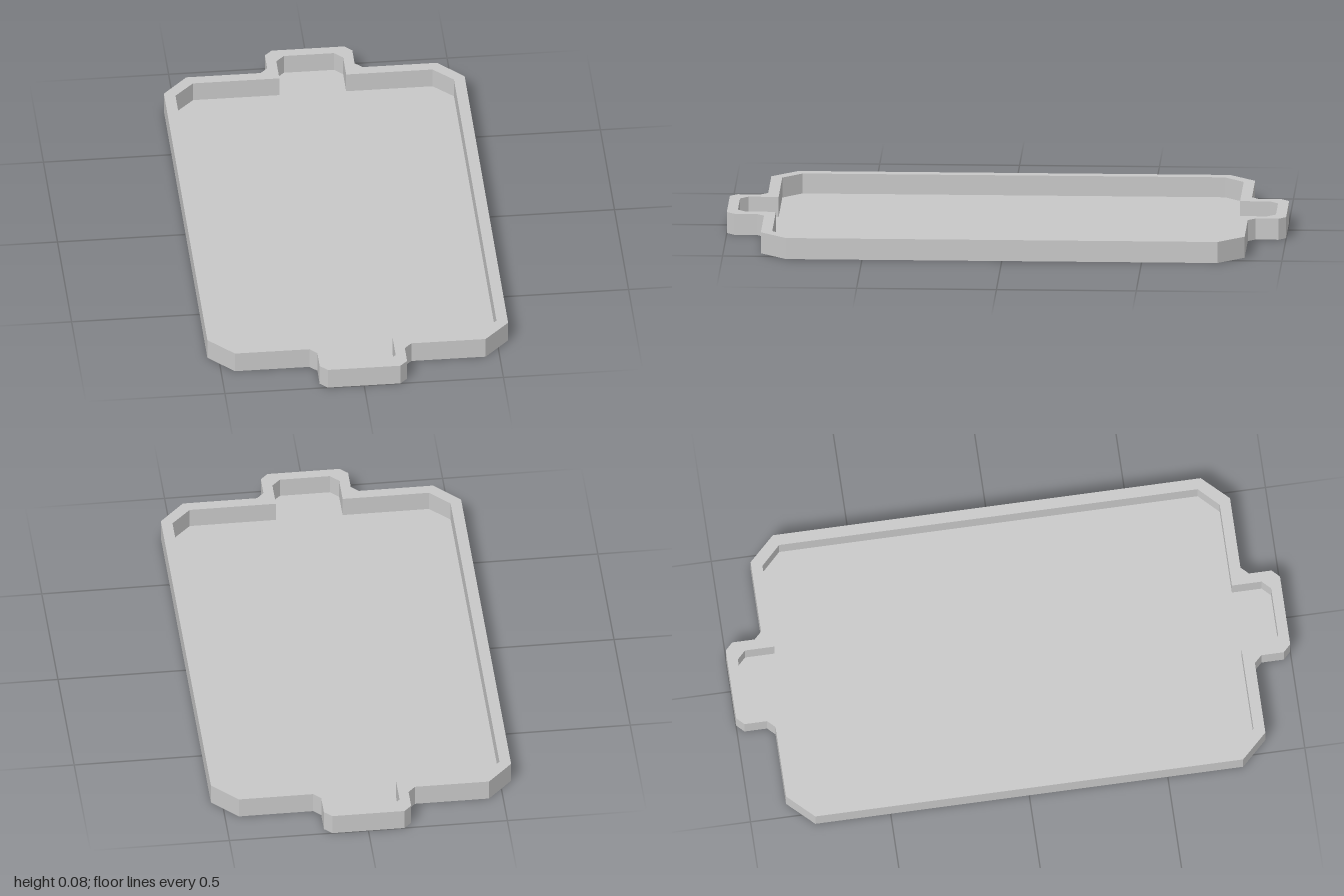
import * as THREE from 'three';

const HEIGHT = 0.077;
const FLOOR = 0.004;

// Corner points of one quarter, from the long side to the end tab
const OUTER = [[0.54, 0.772], [0.45, 0.865], [0.183, 0.865], [0.157, 0.892], [0.157, 0.973], [0.13, 1]];
const INNER = [[0.5, 0.755], [0.43, 0.825], [0.12, 0.825], [0.12, 0.932], [0.09, 0.962]];

// Mirror a quarter into the full closed outline
function outline(quarter) {
  const back = [...quarter].reverse();
  return [
    ...quarter,
    ...back.map(([x, z]) => [-x, z]),
    ...quarter.map(([x, z]) => [-x, -z]),
    ...back.map(([x, z]) => [x, -z]),
  ].map(([x, z]) => new THREE.Vector2(x, z));
}

// Extrude a flat shape upwards from y = 0
function slab(name, shape, depth, material) {
  const geometry = new THREE.ExtrudeGeometry(shape, { depth, bevelEnabled: false });
  geometry.rotateX(-Math.PI / 2);
  const mesh = new THREE.Mesh(geometry, material);
  mesh.name = name;
  return mesh;
}

export function createModel() {
  const group = new THREE.Group();
  group.name = 'tray';
  const grey = new THREE.MeshStandardMaterial({ color: 0xc8c8c8 });
  grey.name = 'light grey';

  // Raised rim around the tray and its two end tabs
  const rim = new THREE.Shape(outline(OUTER));
  rim.holes.push(new THREE.Path(outline(INNER)));
  group.add(slab('rim', rim, HEIGHT, grey));

  // Thin floor filling the inside of the rim
  group.add(slab('floor', new THREE.Shape(outline(INNER)), FLOOR, grey));
  return group;
}
